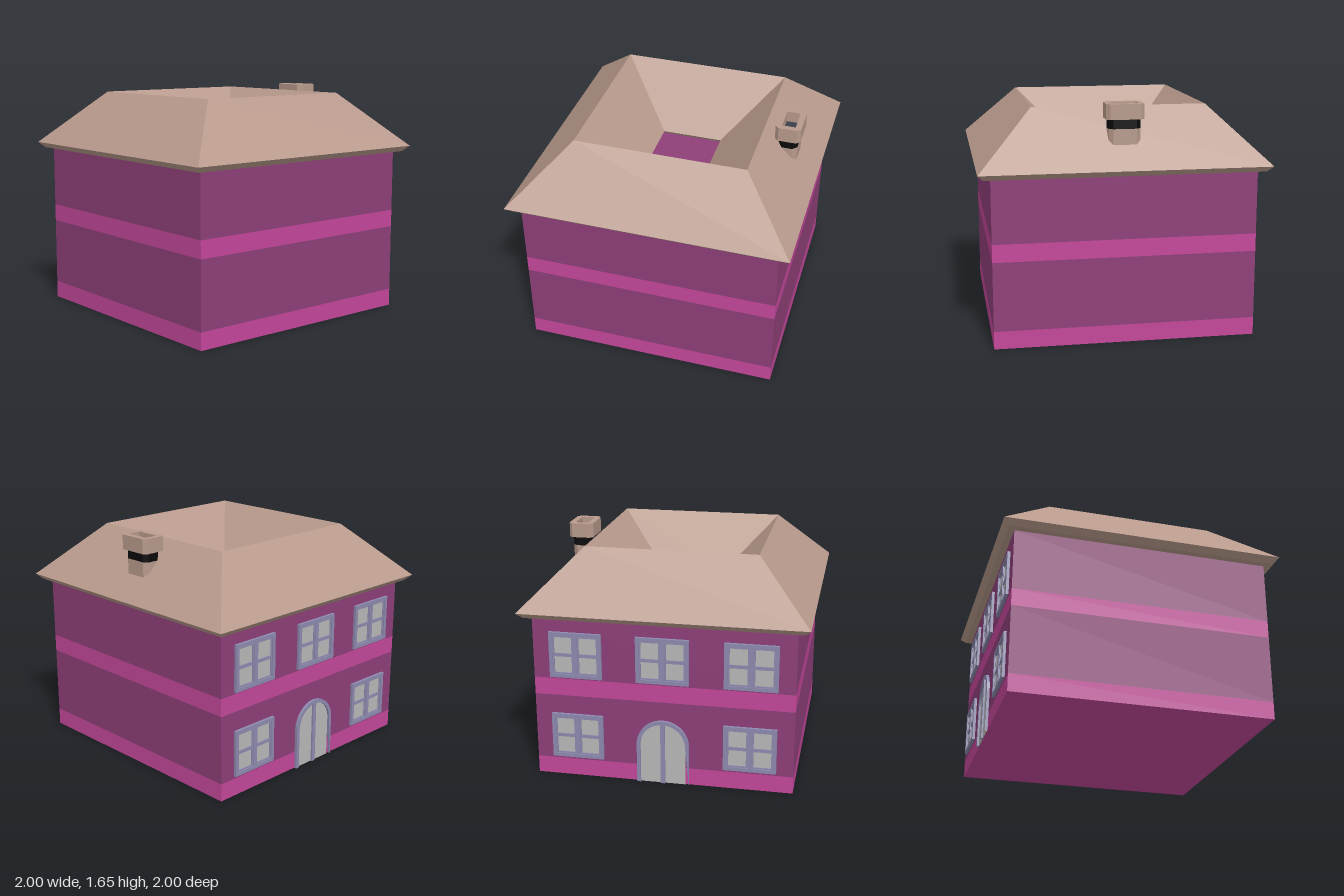
import * as THREE from 'three';

const mat = (color) => new THREE.MeshStandardMaterial({ color, flatShading: true });
const WALL = mat(0x8e3f78), BAND = mat(0xc4479b), ROOF = mat(0xb89a8c);
const SOOT = mat(0x0a0a0a), FLUE = mat(0x3c404c), FRAME = mat(0x8e8bb0), PANE = mat(0xb8b8b8);

function add(parent, name, geometry, material, x = 0, y = 0, z = 0) {
  const mesh = new THREE.Mesh(geometry, material);
  mesh.name = name;
  mesh.position.set(x, y, z);
  parent.add(mesh);
  return mesh;
}

// Square revolve of a [half-width, height] profile, walked upward on the outside
function squareLathe(profile) {
  const pts = profile.map(([r, y]) => new THREE.Vector2(r * Math.SQRT2, y));
  const g = new THREE.LatheGeometry(pts, 4, Math.PI / 4).toNonIndexed();
  g.computeVertexNormals();
  return g;
}

// Rectangle with cut corners, centred on the origin
function cutRect(w, d, c, Type = THREE.Shape) {
  const a = w / 2, b = d / 2;
  return new Type([
    [-a + c, -b], [a - c, -b], [a, -b + c], [a, b - c],
    [a - c, b], [-a + c, b], [-a, b - c], [-a, -b + c],
  ].map(([x, y]) => new THREE.Vector2(x, y)));
}

// Rectangle from corner to corner, optionally with a round top
function opening(x0, y0, x1, y1, arched, Type = THREE.Shape) {
  const s = new Type();
  s.moveTo(x0, y0);
  s.lineTo(x1, y0);
  if (arched) {
    const r = (x1 - x0) / 2;
    s.lineTo(x1, y1 - r);
    s.absarc((x0 + x1) / 2, y1 - r, r, 0, Math.PI, false);
  } else {
    s.lineTo(x1, y1);
    s.lineTo(x0, y1);
  }
  s.closePath();
  return s;
}

const extrude = (shape, depth) =>
  new THREE.ExtrudeGeometry(shape, { depth, bevelEnabled: false, curveSegments: 14 });
const extrudeUp = (shape, depth) => extrude(shape, depth).rotateX(-Math.PI / 2);

const HW = 0.185, RIM = 0.026, DEPTH = 0.02;

// Frame and glass shared by windows and door, facing +z
function framed(name, h, arched) {
  const g = new THREE.Group();
  g.name = name;
  const sill = arched ? 0 : RIM;
  const outer = opening(-HW, 0, HW, h, arched);
  const inner = [-HW + RIM, sill, HW - RIM, h - RIM, arched];
  if (!arched) outer.holes.push(opening(...inner, THREE.Path));
  const shape = arched ? new THREE.Shape() : outer;
  if (arched) {
    // Arch with open foot
    const r = HW - RIM, spring = h - HW;
    shape.moveTo(-HW, 0);
    shape.lineTo(-r, 0);
    shape.lineTo(-r, spring);
    shape.absarc(0, spring, r, Math.PI, 0, true);
    shape.lineTo(HW, 0);
    shape.lineTo(HW, spring);
    shape.absarc(0, spring, HW, 0, Math.PI, false);
    shape.closePath();
  }
  add(g, 'frame', extrude(shape, DEPTH), FRAME);
  add(g, 'panes', extrude(opening(...inner), 0.006), PANE);
  const top = h - RIM;
  add(g, 'mullion', new THREE.BoxGeometry(0.032, top - sill, 0.018), FRAME, 0, (top + sill) / 2, 0.009);
  return g;
}

function makeWindow() {
  const h = 0.33, g = framed('window', h, false);
  for (const s of [-1, 1]) {
    // Sash border and glazing bar of each half
    const sash = opening(-0.0715, RIM, 0.0715, h - RIM);
    for (const [y0, y1] of [[RIM + 0.01, h / 2 - 0.012], [h / 2 + 0.012, h - RIM - 0.01]])
      sash.holes.push(opening(-0.0615, y0, 0.0615, y1, false, THREE.Path));
    add(g, 'sash', extrude(sash, 0.012), FRAME, s * 0.0875);
  }
  return g;
}

export function createModel() {
  const house = new THREE.Group();
  house.name = 'house';

  // Walls in four stripes, with floor and flat top
  const W = 0.913;
  add(house, 'plinth', squareLathe([[0, 0], [W, 0], [W, 0.125]]), BAND);
  add(house, 'lowerWalls', squareLathe([[W, 0.125], [W, 0.61]]), WALL);
  add(house, 'middleBand', squareLathe([[W, 0.61], [W, 0.735]]), BAND);
  add(house, 'upperWalls', squareLathe([[W, 0.735], [W, 1.18], [0, 1.18]]), WALL);

  // Hipped roof ring around the central well
  add(house, 'roof', squareLathe([
    [0.26, 1.18], [0.96, 1.18], [1, 1.22], [0.61, 1.61], [0.22, 1.22], [0.26, 1.18],
  ]), ROOF);

  // Chimney on the left slope
  const chimney = new THREE.Group();
  chimney.name = 'chimney';
  chimney.position.x = 0.78;
  house.add(chimney);
  add(chimney, 'shaft', extrudeUp(cutRect(0.135, 0.22, 0.03), 0.18), ROOF, 0, 1.3);
  add(chimney, 'sootBand', extrudeUp(cutRect(0.135, 0.22, 0.03), 0.065), SOOT, 0, 1.48);
  const cap = cutRect(0.18, 0.26, 0.025);
  cap.holes.push(cutRect(0.095, 0.18, 0, THREE.Path));
  add(chimney, 'cap', extrudeUp(cap, 0.105), ROOF, 0, 1.545);
  add(chimney, 'flue', new THREE.BoxGeometry(0.095, 0.02, 0.18), FLUE, 0, 1.56);

  // Openings on the rear wall
  const rear = new THREE.Group();
  rear.name = 'rearOpenings';
  rear.rotation.y = Math.PI;
  rear.position.z = -W;
  house.add(rear);
  for (const [x, y] of [[-0.61, 0.75], [0, 0.75], [0.61, 0.75], [-0.61, 0.145], [0.61, 0.145]]) {
    const win = makeWindow();
    win.position.set(x, y, 0);
    rear.add(win);
  }
  rear.add(framed('door', 0.475, true));
  return house;
}
